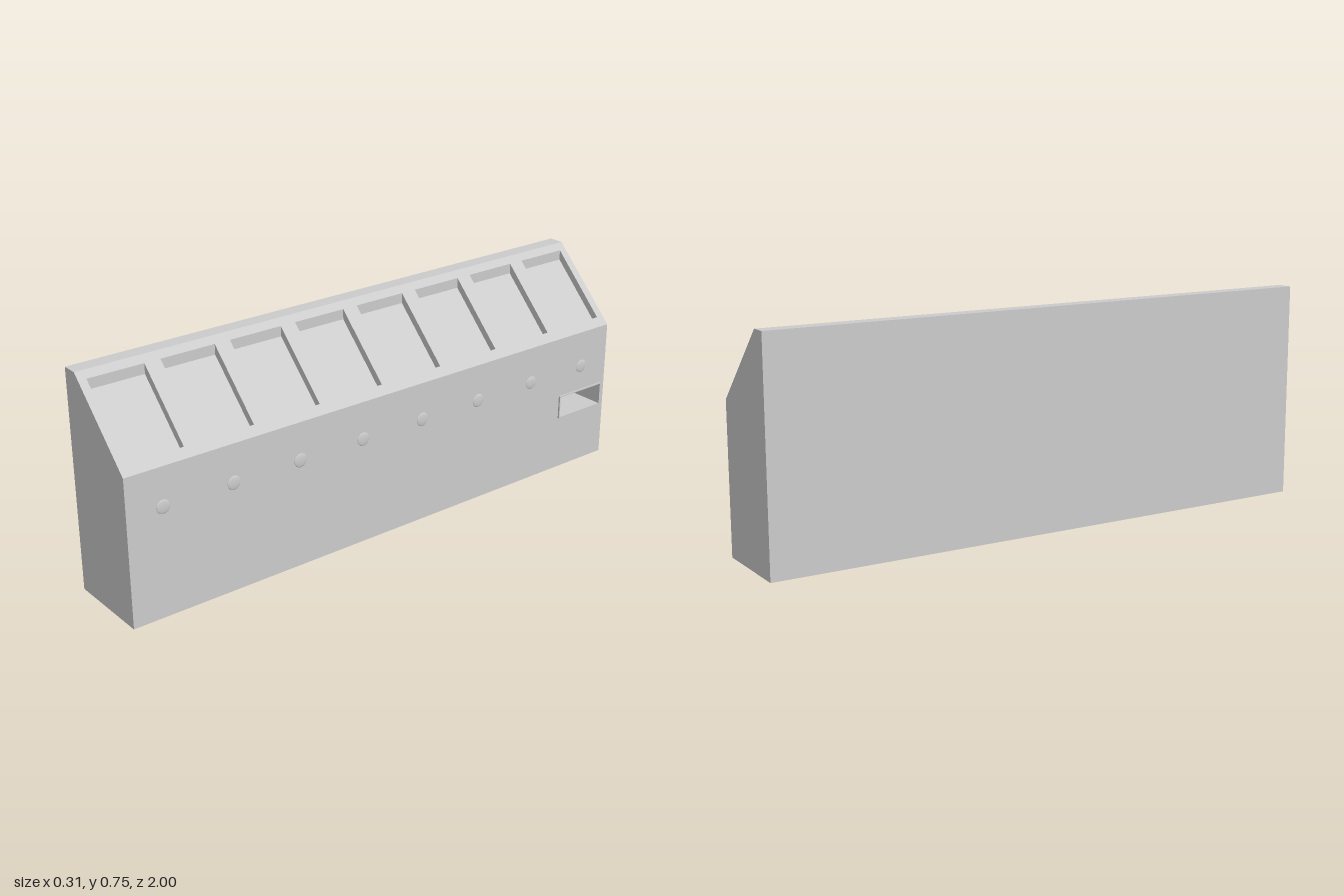
import * as THREE from 'three';

const grey = new THREE.MeshStandardMaterial({ color: 0xcccccc });

// Cabinet cross-section (x, y), clockwise from the upper back edge
const profile = [[-0.155, 0.75], [-0.101, 0.75], [0.147, 0.502], [0.147, 0], [-0.155, 0]]
  .map(([x, y]) => new THREE.Vector2(x, y));
const COUNT = 8, PITCH = 0.25;
const bayZ = (i) => (i - (COUNT - 1) / 2) * PITCH;

function rectPoints(u0, u1, v0, v1) {
  return [[u0, v0], [u1, v0], [u1, v1], [u0, v1]].map(([u, v]) => new THREE.Vector2(u, v));
}

// Maps (u = z, v = 0..1 along the edge a-b) into space
function onPanel(a, b, u, v) {
  return new THREE.Vector3(a.x + (b.x - a.x) * v, a.y + (b.y - a.y) * v, u);
}

// Full-length panel over one profile edge, with rectangular openings
function panel(a, b, openings = []) {
  const shape = new THREE.Shape(rectPoints(-1, 1, 0, 1));
  for (const r of openings) shape.holes.push(new THREE.Path(rectPoints(...r)));
  const geo = new THREE.ShapeGeometry(shape);
  const pos = geo.attributes.position;
  for (let i = 0; i < pos.count; i++) {
    const p = onPanel(a, b, pos.getX(i), pos.getY(i));
    pos.setXYZ(i, p.x, p.y, p.z);
  }
  geo.computeVertexNormals();
  return geo;
}

// Four walls and a floor sunk from an opening along an offset
function recess(corners, offset) {
  const inner = corners.map((c) => c.clone().add(offset));
  const quads = [inner];
  for (let i = 0; i < 4; i++) {
    const j = (i + 1) % 4;
    quads.push([corners[i], corners[j], inner[j], inner[i]]);
  }
  const points = quads.flatMap(([a, b, c, d]) => [a, b, c, a, c, d]);
  const geo = new THREE.BufferGeometry().setFromPoints(points);
  geo.computeVertexNormals();
  return geo;
}

export function createModel() {
  const model = new THREE.Group();
  const add = (name, geo, parent = model) => {
    const mesh = new THREE.Mesh(geo, grey);
    mesh.name = name;
    parent.add(mesh);
    return mesh;
  };
  const [backTop, slopeTop, slopeBottom, frontBottom, backBottom] = profile;

  // Openings: eight windows in the slope, one tray in the front
  const windows = Array.from({ length: COUNT }, (_, i) =>
    [bayZ(i) - 0.097, bayZ(i) + 0.097, 0.085, 0.895]);
  const tray = { z: -0.875, w: 0.21, y0: 0.196, y1: 0.281, rim: 0.004, out: 0.006 };
  const toV = (y) => 1 - y / slopeBottom.y;
  const trayOpening = [tray.z - tray.w / 2 + tray.rim, tray.z + tray.w / 2 - tray.rim,
    toV(tray.y1 - tray.rim), toV(tray.y0 + tray.rim)];

  // Cabinet skin
  const cabinet = new THREE.Group();
  cabinet.name = 'cabinet';
  model.add(cabinet);
  add('topPanel', panel(backTop, slopeTop), cabinet);
  add('slopedPanel', panel(slopeTop, slopeBottom, windows), cabinet);
  add('frontPanel', panel(slopeBottom, frontBottom, [trayOpening]), cabinet);
  add('basePanel', panel(frontBottom, backBottom), cabinet);
  add('backPanel', panel(backBottom, backTop), cabinet);
  const end = new THREE.ShapeGeometry(new THREE.Shape(profile));
  add('leftEnd', end, cabinet).position.z = 1;
  const farEnd = add('rightEnd', new THREE.ShapeGeometry(
    new THREE.Shape(profile.map((p) => new THREE.Vector2(-p.x, p.y)))), cabinet);
  farEnd.rotation.y = Math.PI;
  farEnd.position.z = -1;

  // Window recesses drop straight down from the slope
  for (const w of windows) {
    const corners = rectPoints(...w).map((p) => onPanel(slopeTop, slopeBottom, p.x, p.y));
    add('windowRecess', recess(corners, new THREE.Vector3(0, -0.035, 0)));
  }

  // Tray recess and its raised rim
  const trayCorners = rectPoints(...trayOpening)
    .map((p) => onPanel(slopeBottom, frontBottom, p.x, p.y));
  add('trayRecess', recess(trayCorners, new THREE.Vector3(-0.2, 0, 0)));
  const h = tray.w / 2;
  const rim = new THREE.Shape(rectPoints(-h, h, tray.y0, tray.y1));
  rim.holes.push(new THREE.Path(rectPoints(
    -h + tray.rim, h - tray.rim, tray.y0 + tray.rim, tray.y1 - tray.rim)));
  const rimMesh = add('trayRim',
    new THREE.ExtrudeGeometry(rim, { depth: tray.out, bevelEnabled: false }));
  rimMesh.rotation.y = Math.PI / 2;
  rimMesh.position.set(slopeBottom.x, 0, tray.z);

  // Shallow domed button below each window
  const dome = new THREE.SphereGeometry(1, 32, 12, 0, Math.PI * 2, 0, Math.PI / 2);
  dome.rotateZ(-Math.PI / 2);
  dome.scale(0.004, 0.0235, 0.0235);
  for (let i = 0; i < COUNT; i++) {
    add('button', dome).position.set(slopeBottom.x, 0.3715, bayZ(i));
  }
  return model;
}
